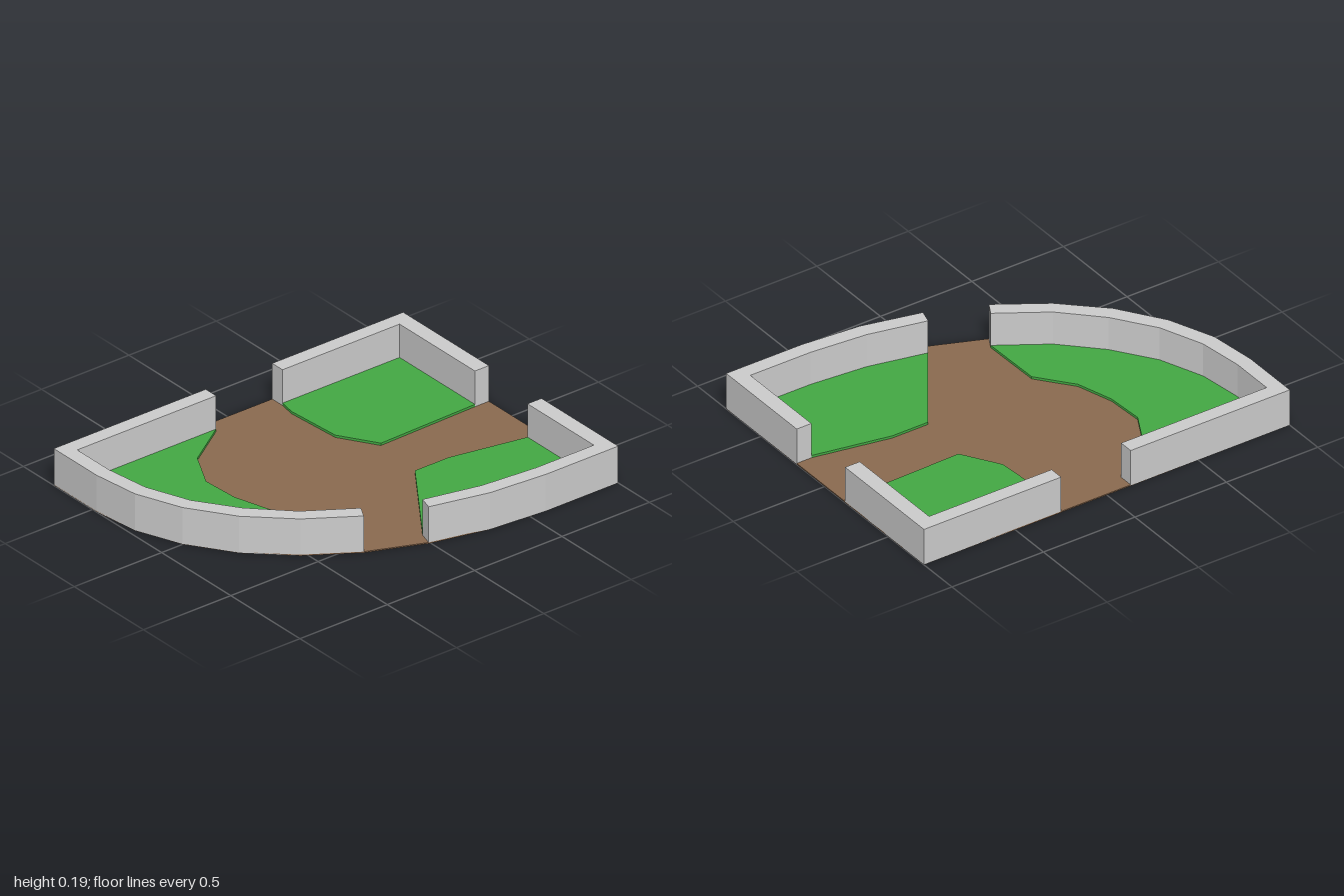
import * as THREE from 'three';

// Solid slab from a plan outline of [x, z] points, from y = bottom to y = top
function slab(name, outline, bottom, top, color) {
  const shape = new THREE.Shape(outline.map(([x, z]) => new THREE.Vector2(x, -z)));
  const geometry = new THREE.ExtrudeGeometry(shape, { depth: top - bottom, bevelEnabled: false });
  geometry.rotateX(-Math.PI / 2).translate(0, bottom, 0);
  const mesh = new THREE.Mesh(geometry, new THREE.MeshStandardMaterial({ color, flatShading: true }));
  mesh.name = name;
  return mesh;
}

export function createModel() {
  const model = new THREE.Group();
  model.name = 'walledGarden';
  const GREY = 0xcccccc, GREEN = 0x43a843, BROWN = 0x8a6a4f;
  const BASE = 0.006, LAWN = 0.018, WALL = 0.19;

  // Outer and inner wall lines for the three wall runs
  const leftOuter = [[-0.13, -0.78], [-1, -0.78], [-1, -0.47], [-0.97, -0.23], [-0.88, 0],
    [-0.73, 0.22], [-0.53, 0.41], [-0.29, 0.565]];
  const leftInner = [[-0.13, -0.705], [-0.925, -0.705], [-0.925, -0.475], [-0.895, -0.25], [-0.81, -0.03],
    [-0.67, 0.17], [-0.49, 0.35], [-0.255, 0.5]];
  const frontOuter = [[-0.01, 0.68], [0.285, 0.75], [0.585, 0.775], [1, 0.775], [1, 0.22]];
  const frontInner = [[0.01, 0.61], [0.3, 0.675], [0.59, 0.7], [0.92, 0.7], [0.92, 0.22]];
  const backOuter = [[1, -0.16], [1, -0.78], [0.25, -0.78]];
  const backInner = [[0.92, -0.16], [0.92, -0.705], [0.25, -0.705]];

  // Lawn edges along the path, each running from the end of its wall back to the start
  const leftEdge = [[-0.26, 0.185], [-0.395, 0.015], [-0.45, -0.17], [-0.46, -0.36], [-0.36, -0.55]];
  const frontEdge = [[0.53, 0.145], [0.335, 0.145]];
  const backEdge = [[0.235, -0.62], [0.255, -0.33], [0.37, -0.145]];

  // Earth base spanning the whole plan, visible as the path
  model.add(slab('earthPath', [...leftOuter, ...frontOuter, ...backOuter], 0, BASE, BROWN));

  // Walls and the lawns they enclose
  const plots = [
    ['left', leftOuter, leftInner, leftEdge],
    ['front', frontOuter, frontInner, frontEdge],
    ['back', backOuter, backInner, backEdge],
  ];
  for (const [side, outer, inner, edge] of plots) {
    model.add(slab(side + 'Wall', [...outer, ...[...inner].reverse()], 0.0005, WALL, GREY));
    model.add(slab(side + 'Lawn', [...inner, ...edge], BASE, LAWN, GREEN));
  }
  return model;
}
